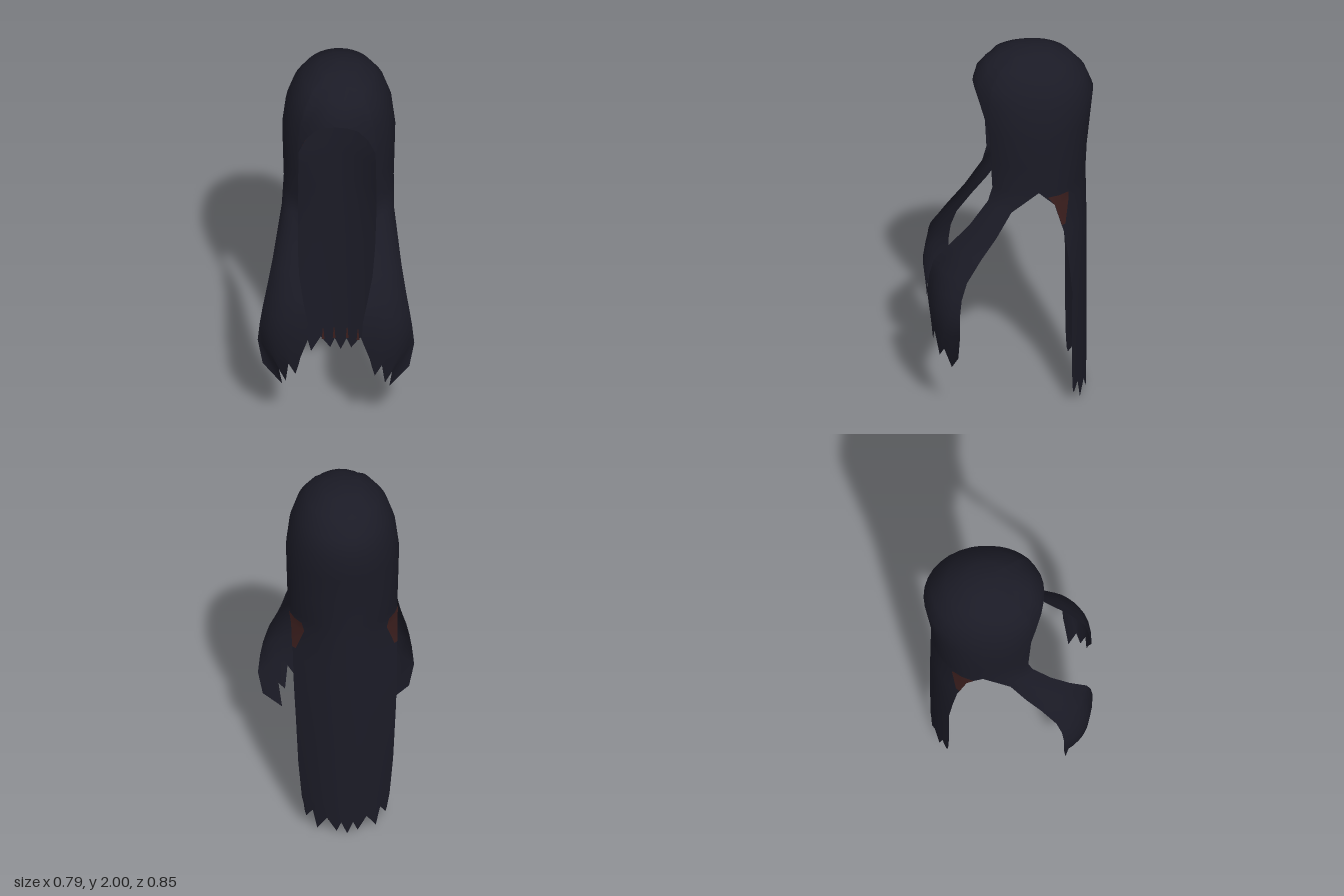
import * as THREE from 'three';
import { mergeVertices } from 'three/addons/utils/BufferGeometryUtils.js';

const rad = THREE.MathUtils.degToRad;
const lerp = THREE.MathUtils.lerp;
const CZ = -0.12; // depth of the head axis

// Head sections from crown to nape: height, half width, front radius, back radius
const SECTIONS = [
  [2.0, 0, 0, 0],
  [1.985, 0.1, 0.13, 0.1],
  [1.94, 0.18, 0.23, 0.195],
  [1.86, 0.234, 0.297, 0.266],
  [1.76, 0.268, 0.312, 0.305],
  [1.62, 0.285, 0.307, 0.29],
  [1.45, 0.281, 0.303, 0.273],
  [1.3, 0.277, 0.3, 0.266],
];

// Section index (fractional) at a height
function indexAt(y) {
  let i = 0;
  while (i < SECTIONS.length - 2 && SECTIONS[i + 1][0] > y) i++;
  return i + (SECTIONS[i][0] - y) / (SECTIONS[i][0] - SECTIONS[i + 1][0]);
}

// Point on the head shell: angle in degrees from the front, section index
function shell(deg, s, inset = 1, drop = 0) {
  const i = Math.min(Math.floor(s), SECTIONS.length - 2);
  const [y, rx, rf, rb] = SECTIONS[i].map((v, k) => lerp(v, SECTIONS[i + 1][k], s - i));
  const a = rad(deg), c = Math.cos(a);
  const dz = c > 0 ? rf * Math.pow(c, 0.85) : rb * c;
  return [rx * inset * Math.sin(a), y - drop, CZ + dz * inset];
}

// Smooth sheet from rows of points, top row first
function sheet(rows) {
  const cols = rows[0].length, index = [];
  for (let j = 0; j < rows.length - 1; j++) {
    for (let i = 0; i < cols - 1; i++) {
      const a = j * cols + i, c = a + cols;
      index.push(a, c, a + 1, a + 1, c, c + 1);
    }
  }
  const g = new THREE.BufferGeometry();
  g.setAttribute('position', new THREE.Float32BufferAttribute(rows.flat(2), 3));
  g.setIndex(index);
  const merged = mergeVertices(g, 1e-4);
  merged.computeVertexNormals();
  return merged;
}

// Share normals where sheets meet, treating both sides as mirror images
function blendSeams(geometries) {
  const sums = new Map();
  const visit = (fn) => geometries.forEach(({ attributes: { position: p, normal: n } }) => {
    for (let i = 0; i < p.count; i++) {
      const side = Math.abs(p.getX(i)) < 1e-4 ? 0 : Math.sign(p.getX(i));
      const key = [Math.abs(p.getX(i)), p.getY(i), p.getZ(i)].map((v) => Math.round(v * 1e4)).join();
      if (!sums.has(key)) sums.set(key, new THREE.Vector3());
      fn(sums.get(key), n, i, side);
    }
  });
  visit((sum, n, i, side) => sum.add(new THREE.Vector3(n.getX(i) * side, n.getY(i), n.getZ(i))));
  visit((sum, n, i, side) => {
    const v = sum.clone().normalize();
    n.setXYZ(i, v.x * side, v.y, v.z);
  });
}

// Angles around the head; the first five span the face opening
const ARCH = [[0, 1.81], [12, 1.802], [24, 1.775], [35, 1.7], [43, 1.6]];
const HALF = ARCH.map((p) => p[0]);
for (let i = 0; i <= 6; i++) HALF.push(46 + (46 * i) / 6);
for (let i = 1; i <= 8; i++) HALF.push(92 + 11 * i);
const ANGLES = [...HALF.slice(1).reverse().map((d) => -d), ...HALF];

// Shell hanging down to a height that depends on the angle
function dome(endY, inset, drop) {
  const rows = [];
  for (let j = 0; j <= 7; j++) {
    rows.push(ANGLES.map((d) => {
      const end = indexAt(endY(Math.abs(d)));
      const upper = Math.min(end, 5);
      const s = j <= 5 ? (upper * j) / 5 : lerp(upper, end, (j - 5) / 2);
      return shell(d, s, inset, drop);
    }));
  }
  return sheet(rows);
}

const archY = (d) => ARCH.find((p) => p[0] === d)?.[1];

// Lower edge of the lining: high at the sides, rounded at the back
function liningY(d) {
  const back = {
    103: 1.64, 114: 1.61, 125: 1.595, 136: 1.57, 147: 1.525, 158: 1.515, 169: 1.508, 180: 1.505,
  };
  return (archY(d) ?? back[d] ?? 1.7) + (d < 45 ? 0.022 : 0.012);
}

// Front lock: front edge, middle and rear edge of each row
function lockGeometry() {
  const spine = [
    [[0.198, 1.22, 0.122], [0.26, 1.21, 0.077], [0.283, 1.195, 0.01]],
    [[0.195, 1.08, 0.215], [0.272, 1.07, 0.165], [0.306, 1.06, 0.088]],
    [[0.185, 0.97, 0.31], [0.28, 0.96, 0.25], [0.326, 0.95, 0.165]],
    [[0.16, 0.86, 0.395], [0.285, 0.85, 0.34], [0.352, 0.83, 0.24]],
    [[0.14, 0.76, 0.415], [0.29, 0.75, 0.372], [0.37, 0.74, 0.268]],
    [[0.135, 0.66, 0.425], [0.3, 0.66, 0.39], [0.384, 0.65, 0.278]],
    [[0.175, 0.53, 0.41], [0.3, 0.53, 0.378], [0.395, 0.54, 0.278]],
  ];
  const rows = [[]];
  for (let i = 0; i <= 6; i++) rows[0].push(shell(46 + (46 * i) / 6, 7));
  for (const [p, m, q] of spine) {
    const row = [];
    for (let i = 0; i <= 6; i++) {
      const u = i / 6;
      row.push(p.map((v, k) =>
        v * (1 - u) * (1 - 2 * u) + m[k] * 4 * u * (1 - u) + q[k] * u * (2 * u - 1)));
    }
    rows.push(row);
  }
  // ragged tips
  rows.push([
    [0.185, 0.48, 0.405], [0.2, 0.42, 0.4], [0.235, 0.49, 0.395], [0.25, 0.355, 0.37],
    [0.285, 0.41, 0.35], [0.27, 0.29, 0.31], [0.37, 0.4, 0.285],
  ]);
  return sheet(rows);
}

// Back hair section, bowed from the centre depth b to the edge depth e
const bow = (x, y, w, e, b) => [x, y, b + (e - b) * (x / w) ** 2];

// Long back hair: height, half width, edge depth, centre depth
function backGeometry() {
  const spine = [
    [1.22, 0.264, -0.21, -0.387], [1.05, 0.264, -0.26, -0.39], [0.88, 0.261, -0.283, -0.391],
    [0.7, 0.253, -0.3, -0.392], [0.4, 0.24, -0.3, -0.392], [0.18, 0.222, -0.302, -0.39],
  ];
  // ragged tips from the centre outwards: x, y
  const teeth = [[0, 0], [0.03, 0.07], [0.053, 0.015], [0.1, 0.09], [0.148, 0.015],
    [0.17, 0.12], [0.2, 0.07], [0.207, 0.09], [0.21, 0.13]];
  const columns = [...Array(17).keys()];
  return sheet([
    columns.map((i) => shell(92 + 11 * i, 7)),
    ...spine.map(([y, w, e, b]) =>
      columns.map((i) => bow(w * Math.sin(rad(90 + 11.25 * i)), y, w, e, b))),
    columns.map((i) => {
      const [x, y] = teeth[Math.abs(i - 8)];
      return bow(x * Math.sign(8 - i), y, 0.21, -0.304, -0.388);
    }),
  ]);
}

export function createModel() {
  const hair = new THREE.MeshStandardMaterial({ color: 0x1b1b26, side: THREE.DoubleSide });
  hair.name = 'dark hair';
  const scalp = new THREE.MeshStandardMaterial({ color: 0x3a1e1d, side: THREE.DoubleSide });
  scalp.name = 'brown lining';

  const model = new THREE.Group();
  model.name = 'longHair';
  const add = (parent, name, geometry, material) => {
    const mesh = new THREE.Mesh(geometry, material);
    mesh.name = name;
    parent.add(mesh);
  };

  // Crown with face opening, its lining, and the long back hair
  const crown = dome((d) => archY(d) ?? 1.3, 1, 0);
  const back = backGeometry();
  const lock = lockGeometry();
  blendSeams([crown, back, lock]);
  add(model, 'crown', crown, hair);
  add(model, 'crownLining', dome(liningY, 0.96, 0.012), scalp);
  add(model, 'backHair', back, hair);

  // Mirrored front locks and lining details
  const patch = sheet([
    [[0.276, 1.27, -0.176], [0.253, 1.27, -0.236], [0.221, 1.27, -0.282]],
    [[0.269, 1.22, -0.212], [0.243, 1.22, -0.245], [0.209, 1.22, -0.284]],
    [[0.267, 1.1, -0.247], [0.259, 1.1, -0.257], [0.25, 1.1, -0.266]],
  ]);
  const tips = [0.033, 0.088].map((x) => {
    const z = -0.382 + 1.95 * x * x;
    return sheet([
      [[x - 0.002, 0.14, z], [x + 0.002, 0.14, z]],
      [[x - 0.007, 0.075, z], [x + 0.007, 0.075, z]],
    ]);
  });
  for (const side of [1, -1]) {
    const half = new THREE.Group();
    half.name = side > 0 ? 'leftSide' : 'rightSide';
    half.scale.x = side;
    add(half, 'frontLock', lock, hair);
    add(half, 'sideLining', patch, scalp);
    tips.forEach((g) => add(half, 'tipLining', g, scalp));
    model.add(half);
  }
  return model;
}
